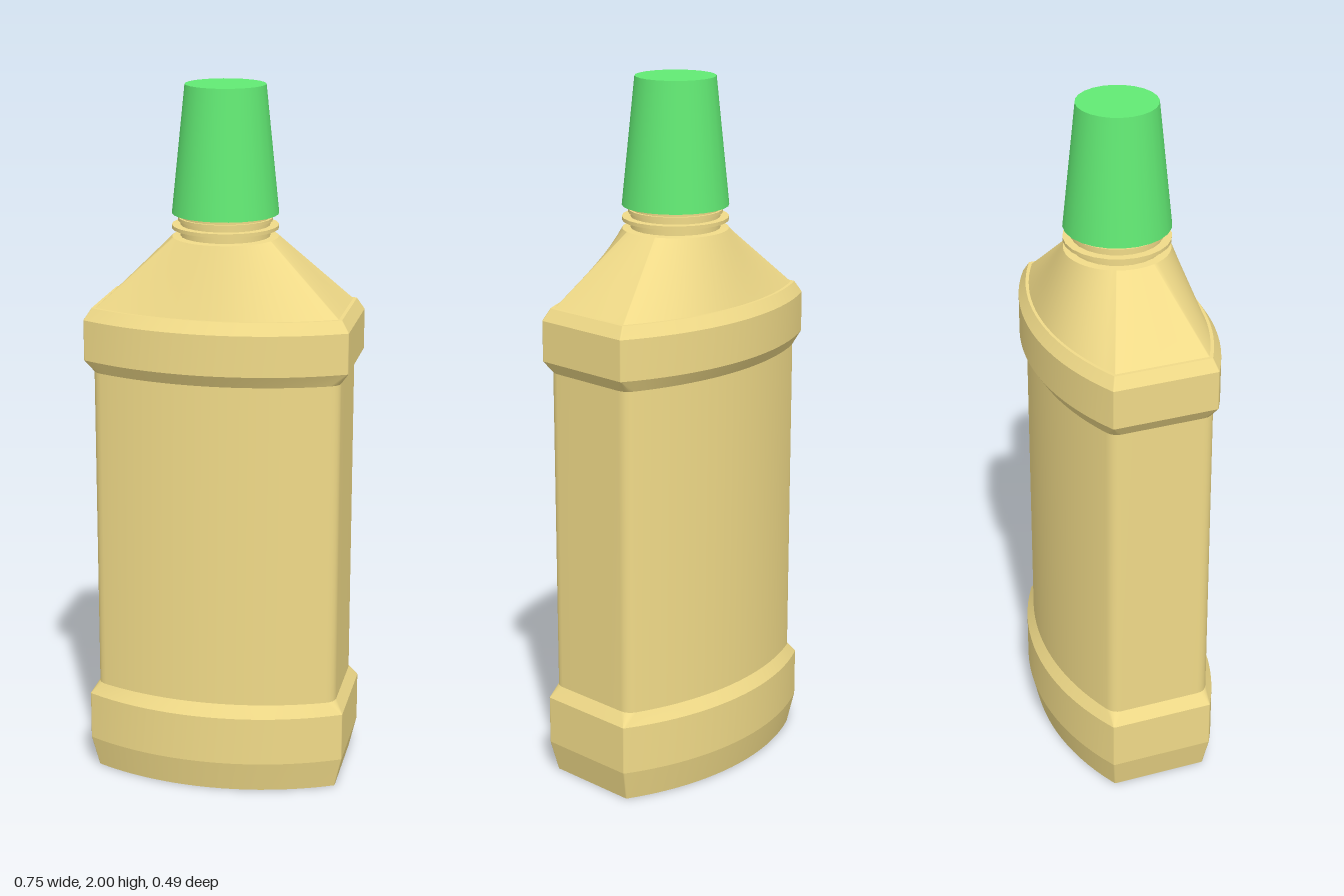
import * as THREE from 'three';

const bodyMat = new THREE.MeshStandardMaterial({ color: 0xf0da88 });
const capMat = new THREE.MeshStandardMaterial({ color: 0x62ea74 });

// Closed cross-section: flat sides at x = ±w, bowed front and back, corners softened by c
function section(y, w, zc, za, c) {
  const sag = za - zc;
  const R = (w * w + sag * sag) / (2 * sag);
  const arcZ = x => za - R + Math.sqrt(R * R - x * x);
  const half = [];
  const corner = (a, k, b) => {
    for (const t of [0.25, 0.5, 0.75]) {
      const u = 1 - t;
      half.push([0, 1].map(i => u * u * a[i] + 2 * u * t * k[i] + t * t * b[i]));
    }
  };
  const e = w - c, s = zc - c, ez = arcZ(e);
  for (let i = 0; i <= 4; i++) half.push([w, -s + (2 * s * i) / 4]);
  corner([w, s], [w, zc], [e, ez]);
  for (let i = 0; i <= 20; i++) {
    const x = e - (2 * e * i) / 20;
    half.push([x, arcZ(x)]);
  }
  corner([-e, ez], [-w, zc], [-w, s]);
  return [...half, ...half.map(([x, z]) => [-x, -z])].map(([x, z]) => [x, y, z]);
}

const wide = y => section(y, 0.373, 0.15, 0.247, 0.003);
const slim = y => section(y, 0.352, 0.139, 0.226, 0.003);
const waist = y => section(y, 0.35, 0.143, 0.225, 0.025);

// Circle whose points lie in the same directions as those of a section
function circleLike(ring, y, r) {
  return ring.map(([x, , z]) => {
    const k = r / Math.hypot(x, z);
    return [x * k, y, z * k];
  });
}

// Skin between successive rings: smooth around, sharp from one band to the next
function loft(name, rings) {
  const pos = [], index = [], n = rings[0].length;
  for (let b = 0; b < rings.length - 1; b++) {
    const base = pos.length / 3;
    for (const p of [...rings[b], ...rings[b + 1]]) pos.push(...p);
    for (let j = 0; j < n; j++) {
      const a = base + j, d = base + ((j + 1) % n);
      index.push(a, a + n, d, d, a + n, d + n);
    }
  }
  const g = new THREE.BufferGeometry();
  g.setAttribute('position', new THREE.Float32BufferAttribute(pos, 3));
  g.setIndex(index);
  g.computeVertexNormals();
  const mesh = new THREE.Mesh(g, bodyMat);
  mesh.name = name;
  return mesh;
}

export function createModel() {
  const group = new THREE.Group();
  group.name = 'bottle';

  // Underside with a thin standing rim around a shallow recess
  const rim = section(0, 0.336, 0.131, 0.212, 0.003);
  const recess = section(0.012, 0.33, 0.128, 0.207, 0.003);
  group.add(loft('underside', [recess.map(() => [0, 0.012, 0]), recess, rim, slim(0)]));

  // Base band, tapering in at the foot and up to the waist
  group.add(loft('baseBand', [slim(0), wide(0.09), wide(0.23), waist(0.265)]));

  // Main body panel
  group.add(loft('body', [waist(0.265), waist(1.205)]));

  // Upper band with a bevelled top and a narrow ledge
  const ledge = section(1.388, 0.342, 0.133, 0.218, 0.003);
  group.add(loft('upperBand', [waist(1.205), wide(1.24), wide(1.355), slim(1.388), ledge]));

  // Shoulder blending from the body section to the round neck
  group.add(loft('shoulder', [
    ledge,
    circleLike(ledge, 1.58, 0.148),
    circleLike(ledge, 1.582, 0.12),
  ]));

  // Neck with its collar rings; each lathe band keeps sharp edges
  const ring = (name, r, y0, y1, mat = bodyMat, rTop = r) => {
    const m = new THREE.Mesh(new THREE.CylinderGeometry(rTop, r, y1 - y0, 24), mat);
    m.position.y = (y0 + y1) / 2;
    m.name = name;
    group.add(m);
  };
  ring('neck', 0.125, 1.575, 1.66);
  ring('neckCollar', 0.149, 1.603, 1.613);
  ring('neckThread', 0.132, 1.625, 1.634);

  // Tapered screw cap
  ring('cap', 0.149, 1.645, 2.0, capMat, 0.112);
  return group;
}
